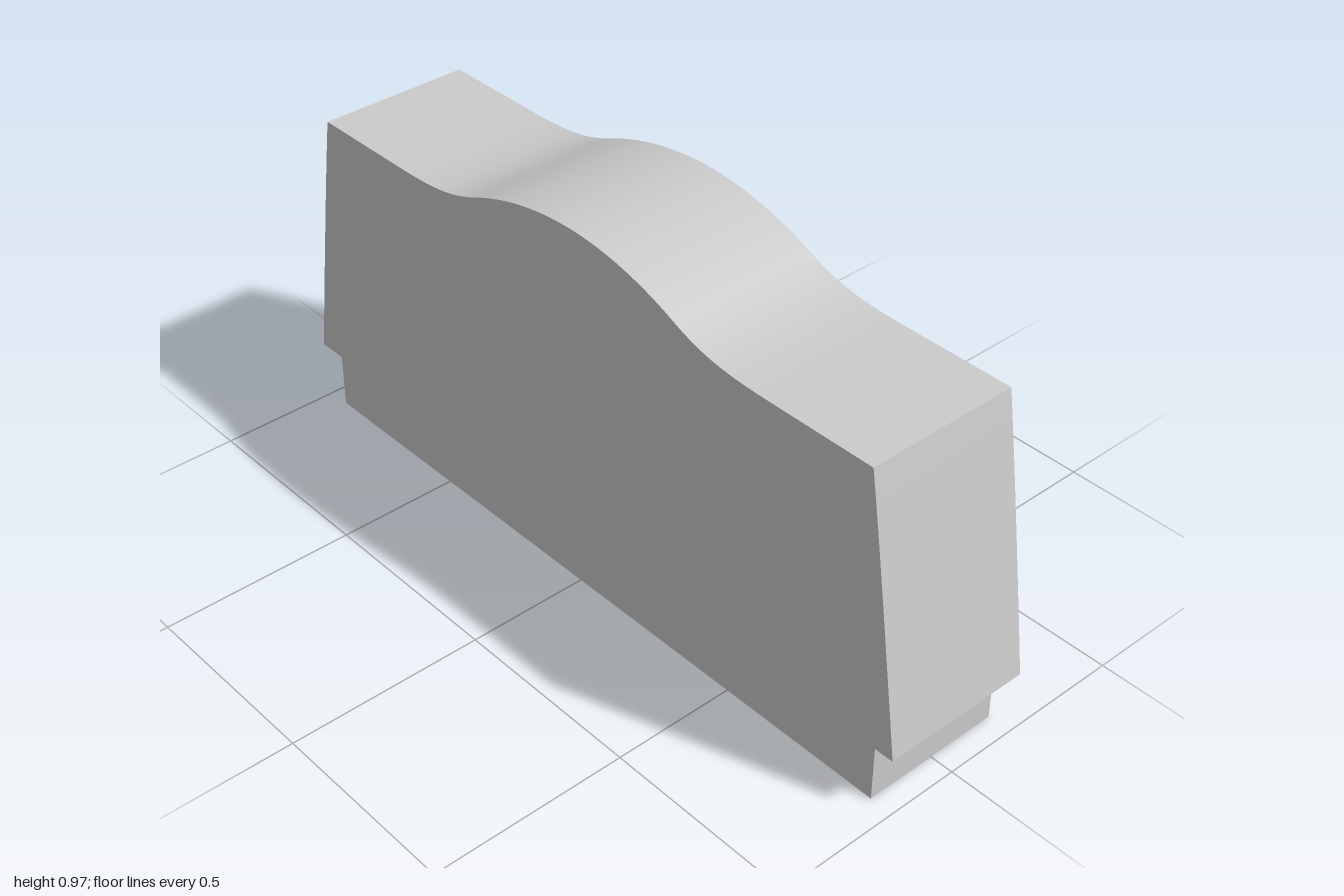
import * as THREE from 'three';
import { toCreasedNormals } from 'three/addons/utils/BufferGeometryUtils.js';

export function createModel() {
  const group = new THREE.Group();
  const material = new THREE.MeshStandardMaterial({ color: 0xcccccc });

  // Plinth under the body
  const baseHeight = 0.16;
  const base = new THREE.Mesh(new THREE.BoxGeometry(1.88, baseHeight, 0.37), material);
  base.name = 'base';
  base.position.y = baseHeight / 2;
  group.add(base);

  // Body outline: tapered, slightly bowed sides and a swept hump on top
  const outline = new THREE.Shape();
  outline.moveTo(-1, baseHeight);
  outline.lineTo(1, baseHeight);
  outline.quadraticCurveTo(0.925, 0.66, 0.89, 0.855);
  outline.lineTo(0.6, 0.855);
  outline.bezierCurveTo(0.46, 0.855, 0.4, 0.87, 0.33, 0.9);
  outline.bezierCurveTo(0.23, 0.945, 0.12, 0.973, 0, 0.973);
  outline.bezierCurveTo(-0.12, 0.973, -0.23, 0.945, -0.33, 0.9);
  outline.bezierCurveTo(-0.4, 0.87, -0.46, 0.855, -0.6, 0.855);
  outline.lineTo(-0.89, 0.855);
  outline.quadraticCurveTo(-0.925, 0.66, -1, baseHeight);

  const depth = 0.394;
  const geometry = new THREE.ExtrudeGeometry(outline, { depth, bevelEnabled: false, curveSegments: 16 });
  geometry.translate(0, 0, -depth / 2);
  const body = new THREE.Mesh(toCreasedNormals(geometry, 0.5), material);
  body.name = 'body';
  group.add(body);

  return group;
}
